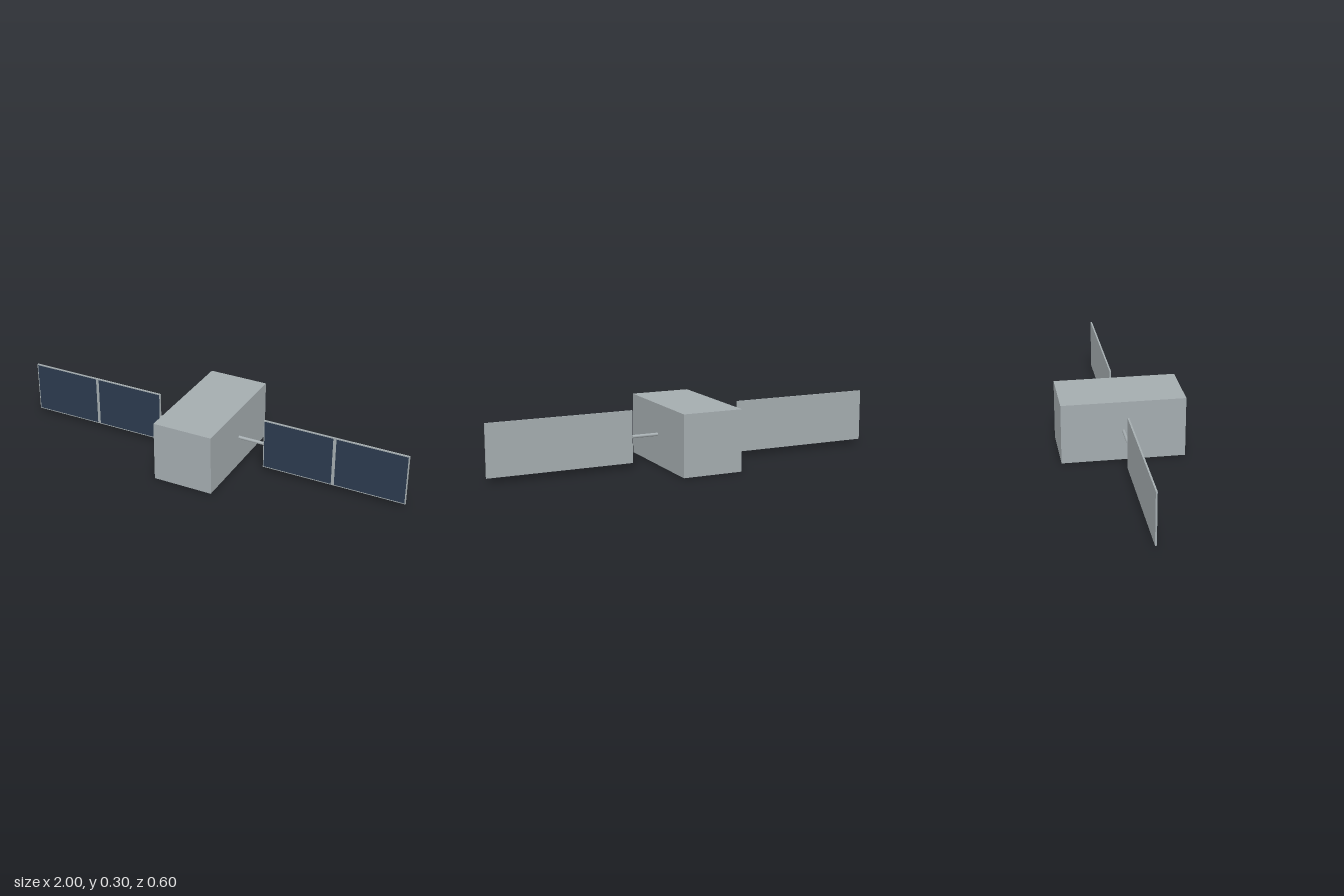
import * as THREE from 'three';

export function createModel() {
  const hullGrey = new THREE.MeshStandardMaterial({ color: 0xa4acaf });
  hullGrey.name = 'hullGrey';
  const cellNavy = new THREE.MeshStandardMaterial({ color: 0x2c3a4e });
  cellNavy.name = 'cellNavy';

  const model = new THREE.Group();
  model.name = 'satellite';
  const midY = 0.15;

  const add = (parent, name, geometry, material, x, y, z) => {
    const mesh = new THREE.Mesh(geometry, material);
    mesh.name = name;
    mesh.position.set(x, y, z);
    parent.add(mesh);
    return mesh;
  };

  // Main body
  add(model, 'body', new THREE.BoxGeometry(0.3, 0.3, 0.6), hullGrey, 0, midY, 0);

  // Solar wings, one per side
  for (const [side, s] of [['left', 1], ['right', -1]]) {
    const wing = new THREE.Group();
    wing.name = side + 'Wing';
    model.add(wing);

    // Boom from the body to the panel
    const boom = new THREE.CylinderGeometry(0.008, 0.008, 0.135, 16).rotateZ(Math.PI / 2);
    add(wing, 'boom', boom, hullGrey, s * 0.2125, midY, 0);

    // Backing panel
    add(wing, 'panel', new THREE.BoxGeometry(0.72, 0.256, 0.008), hullGrey, s * 0.64, midY, 0);

    // Two cell plates on the front face
    for (const x of [0.4585, 0.8215]) {
      add(wing, 'solarCells', new THREE.BoxGeometry(0.347, 0.246, 0.002), cellNavy, s * x, midY, 0.004);
    }
  }
  return model;
}
